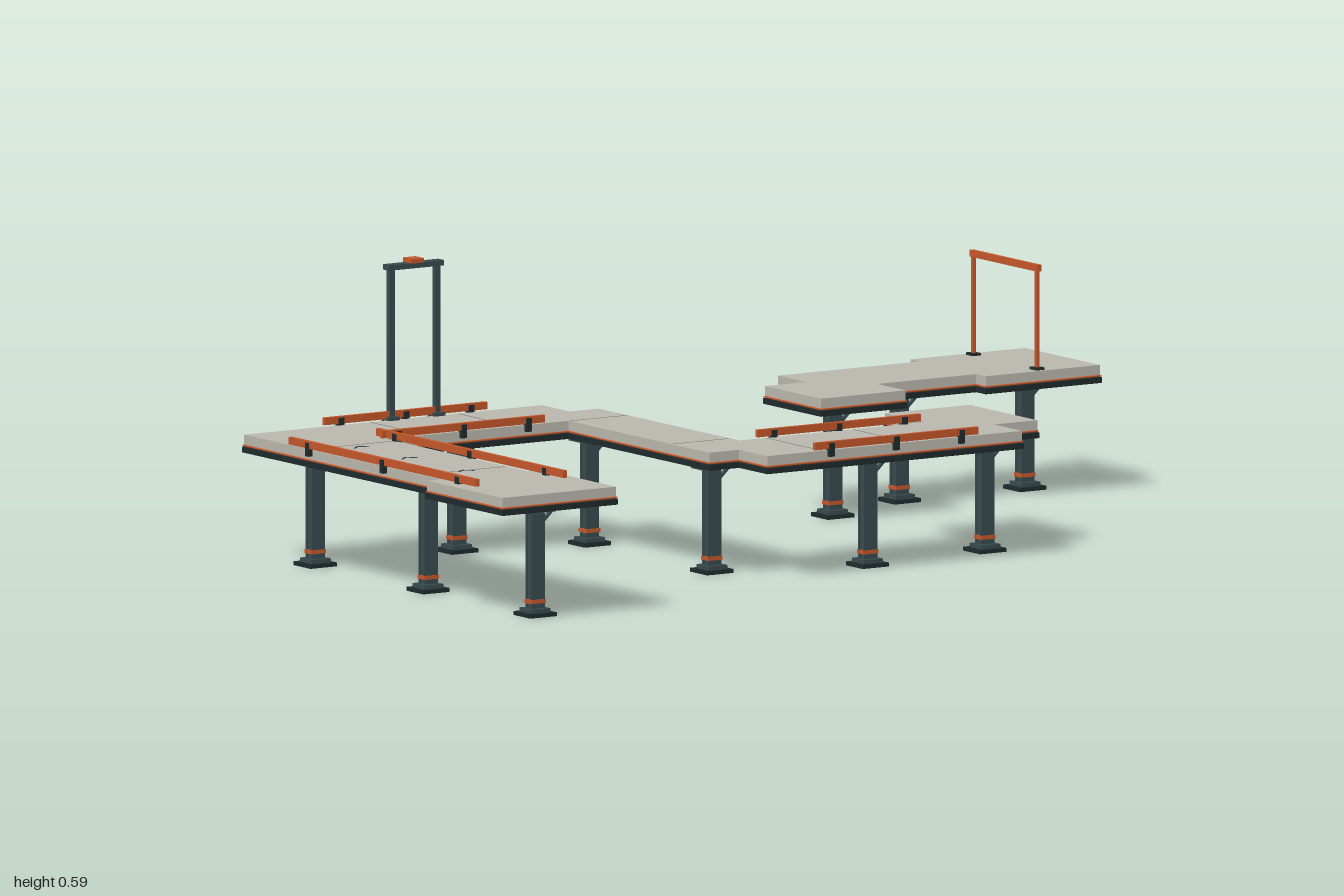
import * as THREE from 'three';

const material = (color) => new THREE.MeshStandardMaterial({ color });
const concrete = material(0xbab7ad);
const orange = material(0xc4572a);
const steel = material(0x384a4e);
const dark = material(0x1f2a2c);
const seamGrey = material(0x85847d);

const TOP = 0.263; // walking surface

function add(parent, name, geometry, mat, x = 0, y = 0, z = 0) {
  const mesh = new THREE.Mesh(geometry, mat);
  mesh.name = name;
  mesh.position.set(x, y, z);
  parent.add(mesh);
  return mesh;
}

// Box given by its centre in plan and its bottom and top heights
function block(parent, name, mat, x, z, y0, y1, w, d) {
  return add(parent, name, new THREE.BoxGeometry(w, y1 - y0, d), mat, x, (y0 + y1) / 2, z);
}

// Layered deck: dark underside, orange trim, concrete slab
function deck(name, outline) {
  const group = new THREE.Group();
  group.name = name;
  const shape = new THREE.Shape(outline.map(([x, z]) => new THREE.Vector2(x, -z)));
  const layer = (label, mat, y0, y1, grow) => {
    const bevel = grow ? 0.001 : 0;
    const geometry = new THREE.ExtrudeGeometry(shape, {
      depth: y1 - y0 - 2 * bevel, bevelEnabled: grow > 0, bevelThickness: bevel, bevelSize: grow, bevelSegments: 1,
    });
    geometry.rotateX(-Math.PI / 2);
    add(group, label, geometry, mat, 0, y0 + bevel, 0);
  };
  layer('underside', dark, 0.226, 0.239, 0.003);
  layer('trim', orange, 0.239, 0.243, 0.002);
  layer('slab', concrete, 0.243, TOP, 0);
  return group;
}

// Support column with stepped foot, collar, flanges, cap and brace
function column(x, z) {
  const group = new THREE.Group();
  group.name = 'supportColumn';
  group.position.set(x, 0, z);
  block(group, 'footPlate', dark, 0, 0, 0, 0.008, 0.064, 0.062);
  block(group, 'footStep', steel, 0, 0, 0.008, 0.016, 0.046, 0.044);
  block(group, 'shaft', steel, 0, 0, 0.016, 0.213, 0.026, 0.014);
  for (const side of [-1, 1]) {
    block(group, 'flange', steel, 0, side * 0.009, 0.016, 0.21, 0.032, 0.005);
  }
  block(group, 'collar', orange, 0, 0, 0.026, 0.034, 0.035, 0.026);
  block(group, 'cap', steel, 0, 0, 0.213, 0.221, 0.07, 0.047);
  block(group, 'capNeck', dark, 0, 0, 0.221, 0.228, 0.05, 0.034);
  const brace = add(group, 'brace', new THREE.BoxGeometry(0.042, 0.005, 0.008), steel, 0.027, 0.2, 0);
  brace.rotation.z = 0.75;
  return group;
}

// Low edge rail running along x or z, on three short brackets
function rail(x0, z0, x1, z1) {
  const group = new THREE.Group();
  group.name = 'edgeRail';
  const alongX = z0 === z1;
  const length = Math.max(Math.abs(x1 - x0), Math.abs(z1 - z0));
  block(group, 'railBar', orange, (x0 + x1) / 2, (z0 + z1) / 2, 0.266, 0.281,
    alongX ? length : 0.009, alongX ? 0.009 : length);
  for (const t of [0.1, 0.5, 0.9]) {
    block(group, 'railBracket', dark, x0 + (x1 - x0) * t, z0 + (z1 - z0) * t, 0.25, 0.278, 0.013, 0.013);
  }
  return group;
}

export function createModel() {
  const model = new THREE.Group();
  model.name = 'elevatedWalkway';

  model.add(deck('mainDeck', [
    [-1, 0.55], [-0.725, 0.55], [-0.725, 0.273], [-0.757, 0.273], [-0.757, -0.243], [-0.315, -0.243],
    [-0.315, 0.273], [-0.243, 0.273], [-0.243, 0.376], [0.375, 0.376], [0.375, 0.273], [0.48, 0.273],
    [0.48, 0.025], [0.275, 0.025], [0.275, 0.168], [-0.173, 0.168], [-0.173, -0.347], [-0.243, -0.347],
    [-0.243, -0.45], [-0.965, -0.45], [-0.965, 0.273], [-1, 0.273],
  ]));
  model.add(deck('separateDeck', [
    [0.275, -0.21], [0.48, -0.21], [0.48, -0.313], [0.72, -0.313], [0.72, -0.278], [0.997, -0.278],
    [0.997, -0.553], [0.72, -0.553], [0.72, -0.518], [0.375, -0.518], [0.375, -0.415], [0.275, -0.415],
  ]));

  for (const [x, z] of [
    [-0.863, 0.462], [-0.863, 0.07], [-0.863, -0.343], [-0.52, -0.343], [-0.243, -0.275], [-0.243, 0.173],
    [0.067, 0.275], [0.374, 0.241], [0.374, -0.316], [0.6, -0.413], [0.904, -0.413],
  ]) model.add(column(x, z));

  for (const x of [-0.968, -0.756]) model.add(rail(x, -0.275, x, 0.41));
  for (const z of [-0.453, -0.241]) model.add(rail(-0.77, z, -0.376, z));
  for (const z of [0.167, 0.377]) model.add(rail(-0.13, z, 0.265, z));

  // Slab joints
  const joint = (x, z, w, d) => block(model, 'slabJoint', seamGrey, x, z, TOP - 0.002, TOP + 0.0005, w, d);
  for (const x of [-0.66, -0.448]) joint(x, -0.347, 0.003, 0.2);
  for (const x of [-0.11, 0.1]) joint(x, 0.272, 0.003, 0.2);
  for (const z of [-0.21, 0.2]) joint(-0.861, z, 0.2, 0.003);
  for (const z of [-0.24, 0.135]) joint(-0.244, z, 0.138, 0.003);

  // Direction chevrons along the long run
  for (const z of [-0.18, -0.005, 0.203]) {
    for (const side of [-1, 1]) {
      const arm = add(model, 'chevronArm', new THREE.BoxGeometry(0.025, 0.001, 0.004), steel,
        -0.863 + side * 0.009, TOP + 0.0005, z);
      arm.rotation.y = -side * 0.75;
    }
  }

  // Gate frame across the separate deck
  const gate = new THREE.Group();
  gate.name = 'gateFrame';
  for (const z of [-0.53, -0.297]) {
    block(gate, 'gateFoot', dark, 0.857, z, TOP, TOP + 0.005, 0.02, 0.024);
    block(gate, 'gatePost', orange, 0.857, z, TOP, 0.466, 0.007, 0.007);
  }
  block(gate, 'gateBar', orange, 0.857, -0.413, 0.464, 0.478, 0.009, 0.25);
  model.add(gate);

  // Tall twin-post mast at the back edge
  const mast = new THREE.Group();
  mast.name = 'twinMast';
  for (const x of [-0.607, -0.496]) {
    block(mast, 'mastFoot', steel, x, -0.453, 0.258, 0.27, 0.026, 0.028);
    block(mast, 'mastPost', steel, x, -0.453, 0.258, 0.572, 0.012, 0.012);
  }
  block(mast, 'mastBeam', steel, -0.552, -0.453, 0.57, 0.581, 0.134, 0.022);
  block(mast, 'mastCap', orange, -0.552, -0.453, 0.581, 0.59, 0.03, 0.032);
  model.add(mast);

  return model;
}
